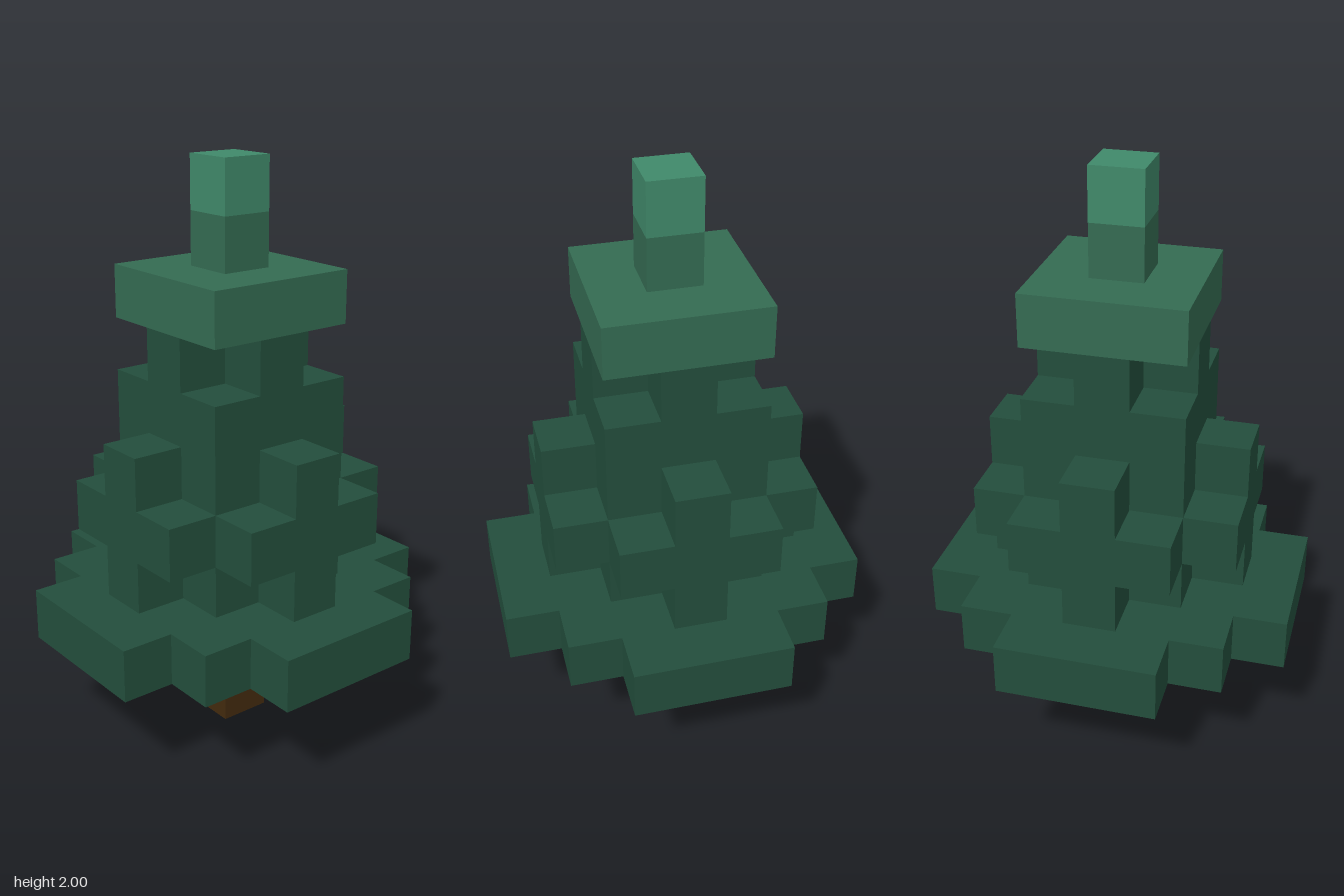
import * as THREE from 'three';

const U = 2 / 11; // edge of one cube

function material(name, color) {
  const m = new THREE.MeshStandardMaterial({ color });
  m.name = name;
  return m;
}

// Extrudes a quarter outline, mirrored into all four quadrants (in cube units)
function symmetricSlab(quarter, height) {
  const back = [...quarter].reverse();
  const pts = [
    ...quarter,
    ...back.map(([x, y]) => [-x, y]),
    ...quarter.map(([x, y]) => [-x, -y]),
    ...back.map(([x, y]) => [x, -y]),
  ].map(([x, y]) => new THREE.Vector2(x * U, y * U));
  return new THREE.ExtrudeGeometry(new THREE.Shape(pts), { depth: height * U, bevelEnabled: false });
}

export function createModel() {
  const tree = new THREE.Group();
  tree.name = 'blockTree';
  const bark = material('barkBrown', 0x422a0e);
  const dark = material('darkGreen', 0x234e3c);
  const mid = material('midGreen', 0x346b52);
  const light = material('lightGreen', 0x40896a);

  const add = (name, geometry, mat, parent = tree) => {
    const mesh = new THREE.Mesh(geometry, mat);
    mesh.name = name;
    parent.add(mesh);
    return mesh;
  };
  // Square block, width w, from layer y0 up by h layers
  const block = (name, w, y0, h, mat) => {
    add(name, new THREE.BoxGeometry(w * U, h * U, w * U), mat).position.y = (y0 + h / 2) * U;
  };
  // Horizontal slab one layer thick
  const layer = (name, quarter, y0, mat) => {
    add(name, symmetricSlab(quarter, 1).rotateX(-Math.PI / 2), mat).position.y = y0 * U;
  };

  const plus = [[1.5, 0.5], [0.5, 0.5], [0.5, 1.5]];

  block('trunk', 1, 0, 2, bark);
  layer('lowestBranches', [[3.5, 1.5], [2.5, 1.5], [2.5, 2.5], [1.5, 2.5], [1.5, 3.5]], 2, dark);
  block('foliageCore', 3, 3, 4, dark);

  // Cross-shaped branch clusters on the four sides
  for (let i = 0; i < 4; i++) {
    const side = new THREE.Group();
    side.name = 'sideBranch' + (i + 1);
    side.rotation.y = (i * Math.PI) / 2;
    add('branchCross', symmetricSlab(plus, 1), dark, side).position.set(0, 4.5 * U, 1.5 * U);
    tree.add(side);
  }

  layer('neck', plus, 7, dark);
  block('upperBranches', 3, 8, 1, mid);
  block('spire', 1, 9, 1, mid);
  block('tip', 1, 10, 1, light);
  return tree;
}
